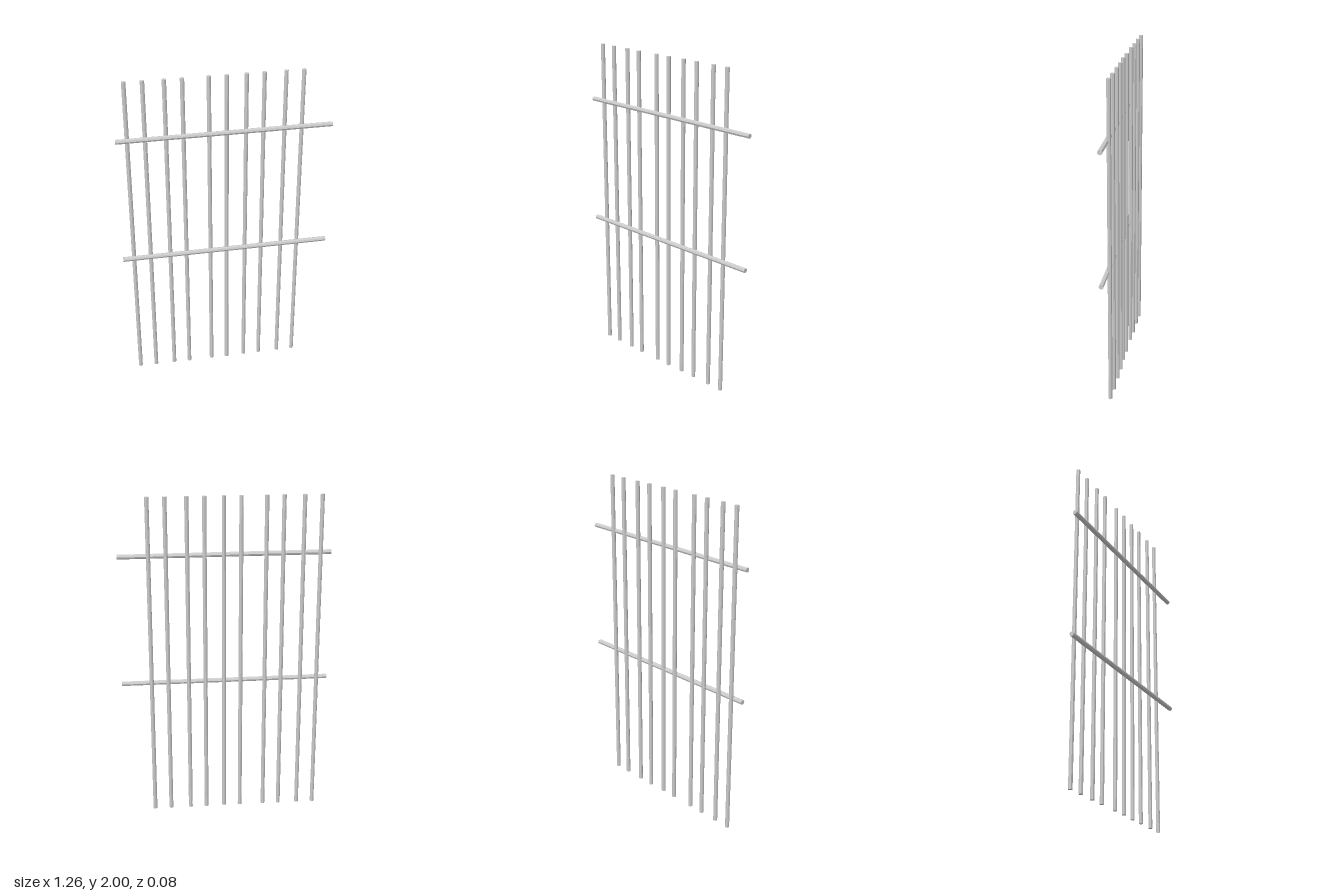
import * as THREE from 'three';

const material = new THREE.MeshStandardMaterial({ color: 0xcccccc, flatShading: true });

// Upright poles: [x, z]
const POLES = [
  [-0.564, -0.026], [-0.462, -0.021], [-0.342, -0.017], [-0.242, -0.012], [-0.093, -0.008],
  [0.008, -0.003], [0.122, -0.004], [0.224, -0.001], [0.349, 0.002], [0.451, 0.006],
];

// Round bar running between two points
function bar(name, from, to, radius) {
  const dir = to.clone().sub(from);
  const mesh = new THREE.Mesh(new THREE.CylinderGeometry(radius, radius, dir.length(), 8), material);
  mesh.name = name;
  mesh.position.copy(from).add(to).multiplyScalar(0.5);
  mesh.quaternion.setFromUnitVectors(new THREE.Vector3(0, 1, 0), dir.normalize());
  return mesh;
}

export function createModel() {
  const fence = new THREE.Group();
  fence.name = 'fence';

  // Unevenly spaced uprights
  POLES.forEach(([x, z], i) => {
    fence.add(bar(`pole${i + 1}`, new THREE.Vector3(x, 0, z), new THREE.Vector3(x, 2, z), 0.0125));
  });

  // Two slightly skewed rails in front of the poles
  [['lowerRail', 0.86], ['upperRail', 1.652]].forEach(([name, y]) => {
    fence.add(bar(name, new THREE.Vector3(-0.632, y, -0.003), new THREE.Vector3(0.632, y, 0.024), 0.0145));
  });

  return fence;
}
